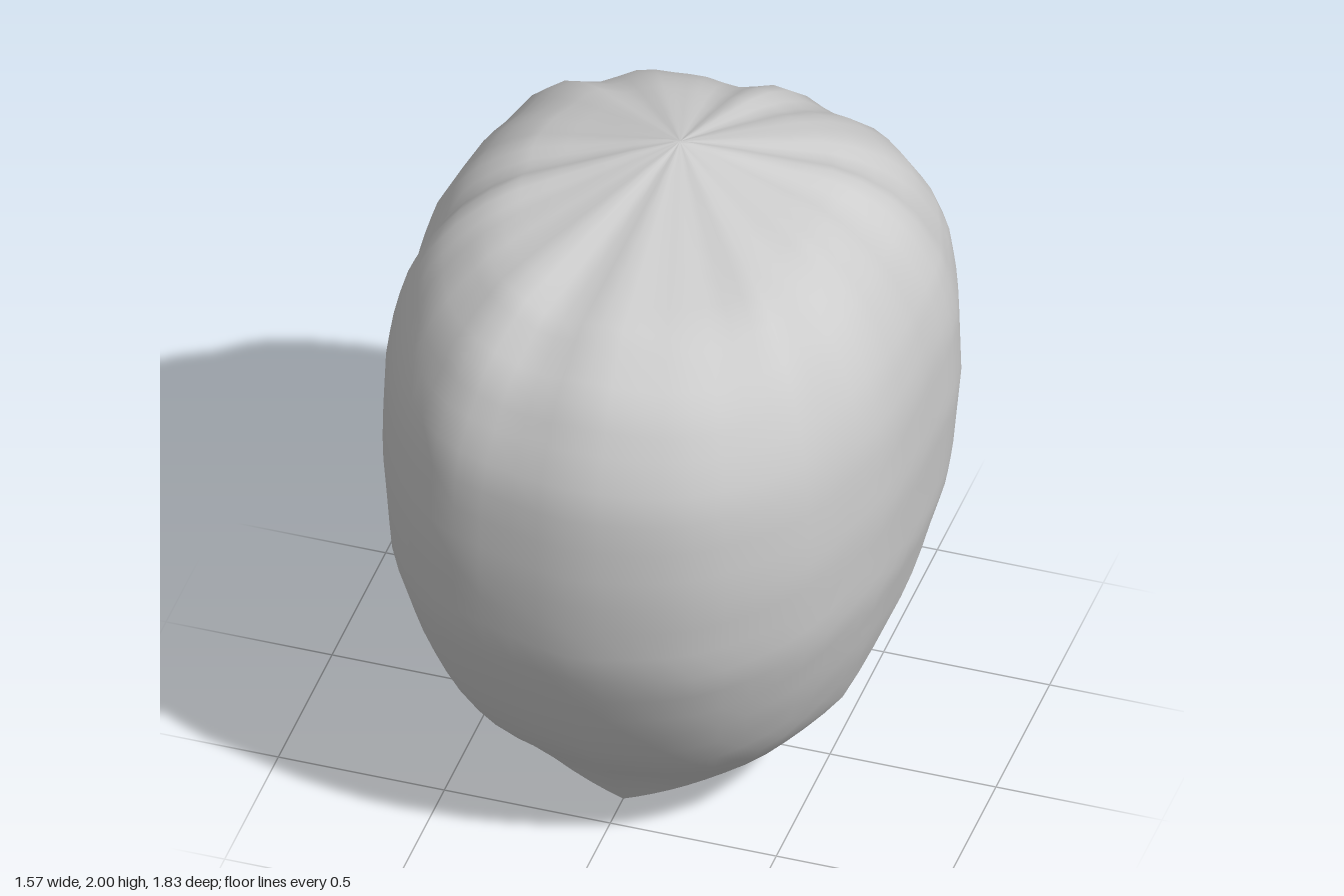
import * as THREE from 'three';

const POLE_Z = -0.15;
const COLUMNS = 72;

// Horizontal extents by height: [y, half width, front z, back z]
const EXTENTS = [
  [0.0, 0.30, 0.38, -0.70], [0.15, 0.41, 0.47, -0.72], [0.3, 0.54, 0.62, -0.74],
  [0.4, 0.61, 0.70, -0.76], [0.6, 0.69, 0.80, -0.80], [0.85, 0.76, 0.89, -0.85],
  [1.15, 0.785, 0.915, -0.89], [1.4, 0.775, 0.90, -0.915], [1.5, 0.755, 0.88, -0.915],
  [1.6, 0.725, 0.83, -0.87], [1.72, 0.66, 0.76, -0.80], [1.8, 0.59, 0.66, -0.71],
  [1.86, 0.51, 0.57, -0.61], [1.9, 0.43, 0.36, -0.51], [1.95, 0.23, 0.11, -0.34],
  [2.0, 0.04, -0.145, -0.155],
];

// Half of the open rim, from the front tip to the back of the head
const RIM = [
  [0, 0.005, 0.38], [0.2, 0.11, 0.39], [0.4, 0.23, 0.36], [0.6, 0.38, 0.2],
  [0.68, 0.55, 0.05], [0.73, 0.73, -0.2], [0.74, 0.87, -0.4], [0.66, 1.07, -0.62],
  [0.5, 1.22, -0.79], [0.25, 1.32, -0.88], [0, 1.36, -0.91],
].map(([x, y, z]) => [Math.atan2(x, z - POLE_Z), y, Math.hypot(x, z - POLE_Z)]);

// Linear lookup in a table sorted by its first entry
function lookup(table, key) {
  let i = 0;
  while (i < table.length - 2 && key > table[i + 1][0]) i++;
  const a = table[i], b = table[i + 1];
  const t = THREE.MathUtils.clamp((key - a[0]) / (b[0] - a[0]), 0, 1);
  return a.map((v, k) => v + (b[k] - v) * t);
}

// Radius of the rounded-square cross-section at one height and angle
function radius(angle, y) {
  const [, width, front, back] = lookup(EXTENTS, y);
  const c = Math.cos(angle), s = Math.sin(angle);
  const depth = c > 0 ? front - POLE_Z : POLE_Z - back;
  const n = 2.5;
  return Math.pow(Math.pow(Math.abs(s) / width, n) + Math.pow(Math.abs(c) / depth, n), -1 / n);
}

// Rows gather at the crown, then spread evenly down to the rim
const CROWN = [2, 1.975, 1.95, 1.925, 1.9, 1.88, 1.86, 1.83, 1.8, 1.76, 1.72, 1.66, 1.6];
const LOWER = 16;
const ROWS = CROWN.length + LOWER;

function shellPoint(row, col) {
  const angle = (col / COLUMNS) * Math.PI * 2;
  const folded = Math.min(angle, Math.PI * 2 - angle);
  const [, rimY, rimR] = lookup(RIM, folded);
  const t = Math.max(0, (row - CROWN.length + 1) / LOWER);
  let y = row < CROWN.length ? CROWN[row] : 1.6 + (rimY - 1.6) * t;
  let r = radius(angle, y);
  r *= 1 + (rimR / radius(angle, rimY) - 1) * t ** 4;

  // Gathered pleats, strongest at the shoulder of the crown
  const pleat = Math.sin(11 * angle + 0.6) * 0.6 + Math.sin(17 * angle + 2) * 0.4;
  const shoulder = Math.min(1, (2 - y) / 0.12) * THREE.MathUtils.smoothstep(y, 1.3, 1.85);
  r *= 1 + 0.011 * pleat * Math.min(1, (2 - y) / 0.2) * (1 - t);
  y += 0.017 * (pleat - 0.2) * shoulder;
  return [r * Math.sin(angle), y, POLE_Z + r * Math.cos(angle)];
}

export function createModel() {
  const positions = [], indices = [];
  for (let i = 0; i < ROWS; i++)
    for (let j = 0; j < COLUMNS; j++) positions.push(...shellPoint(i, j));

  for (let i = 0; i < ROWS - 1; i++)
    for (let j = 0; j < COLUMNS; j++) {
      const k = (j + 1) % COLUMNS;
      const a = i * COLUMNS + j, b = a + COLUMNS;
      const d = i * COLUMNS + k, c = d + COLUMNS;
      indices.push(a, b, c, a, c, d);
    }
  // Close the narrow gather seam at the crown
  for (let j = 1; j < COLUMNS - 1; j++) indices.push(0, j, j + 1);

  const geometry = new THREE.BufferGeometry();
  geometry.setAttribute('position', new THREE.Float32BufferAttribute(positions, 3));
  geometry.setIndex(indices);
  geometry.computeVertexNormals();

  const material = new THREE.MeshStandardMaterial({ color: 0xcccccc, side: THREE.DoubleSide });
  material.name = 'light grey';
  const shell = new THREE.Mesh(geometry, material);
  shell.name = 'pleatedShell';

  const group = new THREE.Group();
  group.name = 'openShell';
  group.add(shell);
  return group;
}
